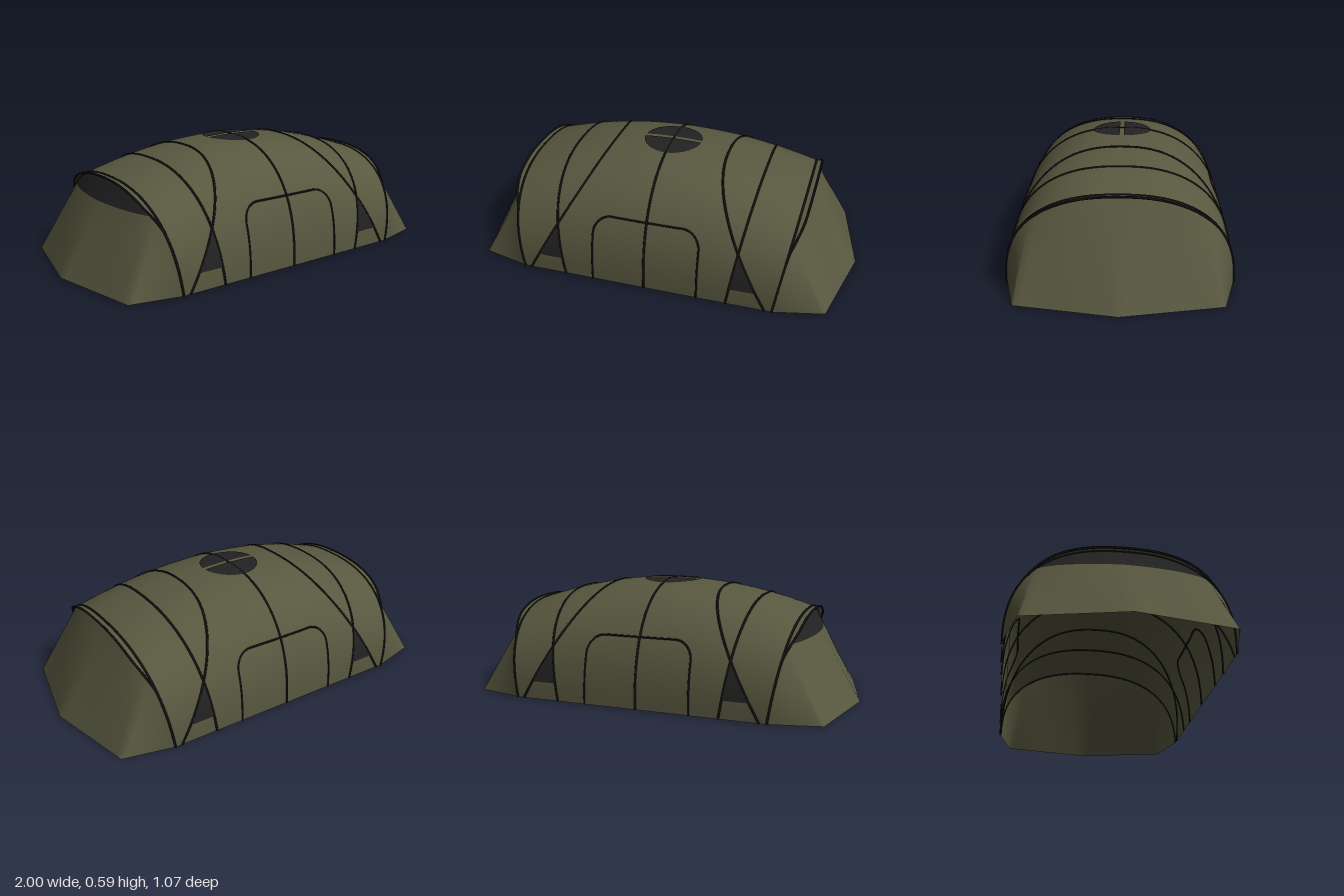
import * as THREE from 'three';

const HALF = 0.53, N = 2.4, P = 2 / N;      // arch half width and superellipse power
const BASE = 0.65, TOP = 0.725;             // hull end at the ground and at the ridge
const SHOULDER = Math.PI / 4;

const canvas = new THREE.MeshStandardMaterial({ color: 0x58573f, side: THREE.DoubleSide });
canvas.name = 'olive canvas';
const mesh = new THREE.MeshStandardMaterial({ color: 0x222222, side: THREE.DoubleSide });
mesh.name = 'dark mesh';
const piping = new THREE.MeshStandardMaterial({ color: 0x101010 });
piping.name = 'black piping';

// Ridge height along x, and the hull surface as z(x, y) or y(x, z)
const ridge = x => 0.582 - 0.238 * x * x;
const round = r => Math.pow(Math.max(0, 1 - Math.pow(Math.abs(r), N)), 1 / N);
const zAt = (x, y) => HALF * round(y / ridge(x));
const yAt = (x, z) => ridge(x) * round(z / HALF);

// Point on a leaning arch that meets the ground at xb and the ridge at xt
function archPoint(xb, xt, a) {
  const s = Math.pow(Math.max(0, Math.sin(a)), P), c = Math.cos(a);
  let x = xb, y = 0;
  for (let i = 0; i < 8; i++) {
    y = ridge(x) * s;
    x = xb + (xt - xb) * y / ridge(xt);
  }
  return new THREE.Vector3(x, y, HALF * Math.sign(c) * Math.pow(Math.abs(c), P));
}

// Smooth surface from a rule f(u, v), with u and v in 0..1
function grid(f, nu, nv) {
  const pos = [], index = [];
  for (let i = 0; i <= nu; i++)
    for (let j = 0; j <= nv; j++) pos.push(...f(i / nu, j / nv).toArray());
  for (let i = 0; i < nu; i++)
    for (let j = 0; j < nv; j++) {
      const a = i * (nv + 1) + j, b = a + nv + 1;
      index.push(a, b, a + 1, b, b + 1, a + 1);
    }
  const g = new THREE.BufferGeometry();
  g.setAttribute('position', new THREE.Float32BufferAttribute(pos, 3));
  g.setIndex(index);
  g.computeVertexNormals();
  return g;
}

// Ground outline of an end panel, following the arch angle
function endBase(a) {
  const mirror = a > Math.PI / 2, t = mirror ? Math.PI - a : a;
  const k = t / SHOULDER;
  const x = k < 1 ? BASE + 0.25 * k : 0.9 + 0.1 * (k - 1);
  const z = k < 1 ? HALF - 0.06 * k : 0.47 * (2 - k);
  return new THREE.Vector3(x, 0, mirror ? -z : z);
}

export function createModel() {
  const group = new THREE.Group();
  const add = (name, geometry, material) => {
    const m = new THREE.Mesh(geometry, material);
    m.name = name;
    group.add(m);
  };
  const tube = (name, points, r = 0.006) =>
    add(name, new THREE.TubeGeometry(new THREE.CatmullRomCurve3(points), 96, r, 6), piping);
  const arc = (f, from = 0, to = Math.PI, n = 48) =>
    Array.from({ length: n + 1 }, (_, i) => f(from + (to - from) * i / n));

  // Main hull
  add('hull', grid((u, v) => {
    const k = u * 2 - 1;
    return archPoint(BASE * k, TOP * k, Math.PI * (1 - v));
  }, 40, 64), canvas);

  // Ridge pole
  tube('centrePole', arc(a => archPoint(0, 0, a)));

  const cut = archPoint(BASE, TOP, SHOULDER).y;
  for (const s of [-1, 1]) {
    const side = s < 0 ? 'right' : 'left';
    const flip = p => { p.x *= s; return p; };

    // Crossing poles and end pole
    tube(side + 'InnerPole', arc(a => archPoint(s * 0.615, s * 0.3, a)));
    tube(side + 'OuterPole', arc(a => archPoint(s * 0.42, s * 0.505, a)));
    tube(side + 'EndPole', arc(a => archPoint(s * BASE, s * TOP, a)));

    // Sloping end panel, with a mesh window at the top of one end
    const panel = (v0, v1) => grid((u, v) => {
      const a = Math.PI * u, top = archPoint(BASE, TOP, a);
      const split = top.y > cut ? 1 - cut / top.y : 0;
      const from = v0 === null ? split : v0, to = v1 === null ? split : v1;
      return flip(top.lerp(endBase(a), from + (to - from) * v));
    }, 48, 12);
    if (s < 0) {
      add('endWindow', panel(0, null), mesh);
      add('rightEndPanel', panel(null, 1), canvas);
    } else {
      add('leftEndPanel', panel(0, 1), canvas);
    }

    // Small hood over the end panel
    const hoodEdge = (a, v) => {
      const p = archPoint(BASE, TOP, a);
      const k = THREE.MathUtils.smoothstep(p.y, 0.27, 0.42);
      p.x += 0.032 * k * v;
      return flip(p);
    };
    const a0 = 0.5, a1 = Math.PI - 0.5;
    add(side + 'Hood', grid((u, v) => hoodEdge(a0 + (a1 - a0) * u, v), 40, 2), canvas);
    tube(side + 'HoodEdge', arc(a => hoodEdge(a, 1), a0, a1));
  }

  for (const f of [-1, 1]) {
    const face = f > 0 ? 'front' : 'back';
    const onWall = (x, y, lift = 0) => new THREE.Vector3(x, y, f * (zAt(x, y) + lift));

    // Door seam with rounded upper corners
    const outline = new THREE.Path();
    outline.moveTo(-0.272, 0).lineTo(-0.272, 0.255);
    outline.absarc(-0.182, 0.255, 0.09, Math.PI, Math.PI / 2, true);
    outline.lineTo(0.182, 0.345);
    outline.absarc(0.182, 0.255, 0.09, Math.PI / 2, 0, true);
    outline.lineTo(0.272, 0);
    tube(face + 'DoorSeam', outline.getSpacedPoints(60).map(p => onWall(p.x, p.y)), 0.005);

    // Triangular mesh windows between the crossing poles
    for (const s of [-1, 1])
      add(face + 'Window', grid((u, v) => {
        const y = 0.09 + 0.178 * v;
        const x0 = 0.615 - 0.5625 * y, x1 = 0.42 + 0.1635 * y;
        return onWall(s * (x0 + (x1 - x0) * u), y, 0.004);
      }, 4, 10), mesh);

    // Half of the round roof vent
    add(face + 'Vent', grid((u, v) => {
      const a = Math.asin(0.011 / 0.15) * (1 - v) + Math.PI / 2 * v;
      const z = f * 0.15 * Math.sin(a), x = 0.15 * Math.cos(a) * (u * 2 - 1);
      return new THREE.Vector3(x, yAt(x, z) + 0.004, z);
    }, 16, 16), mesh);
  }
  return group;
}
